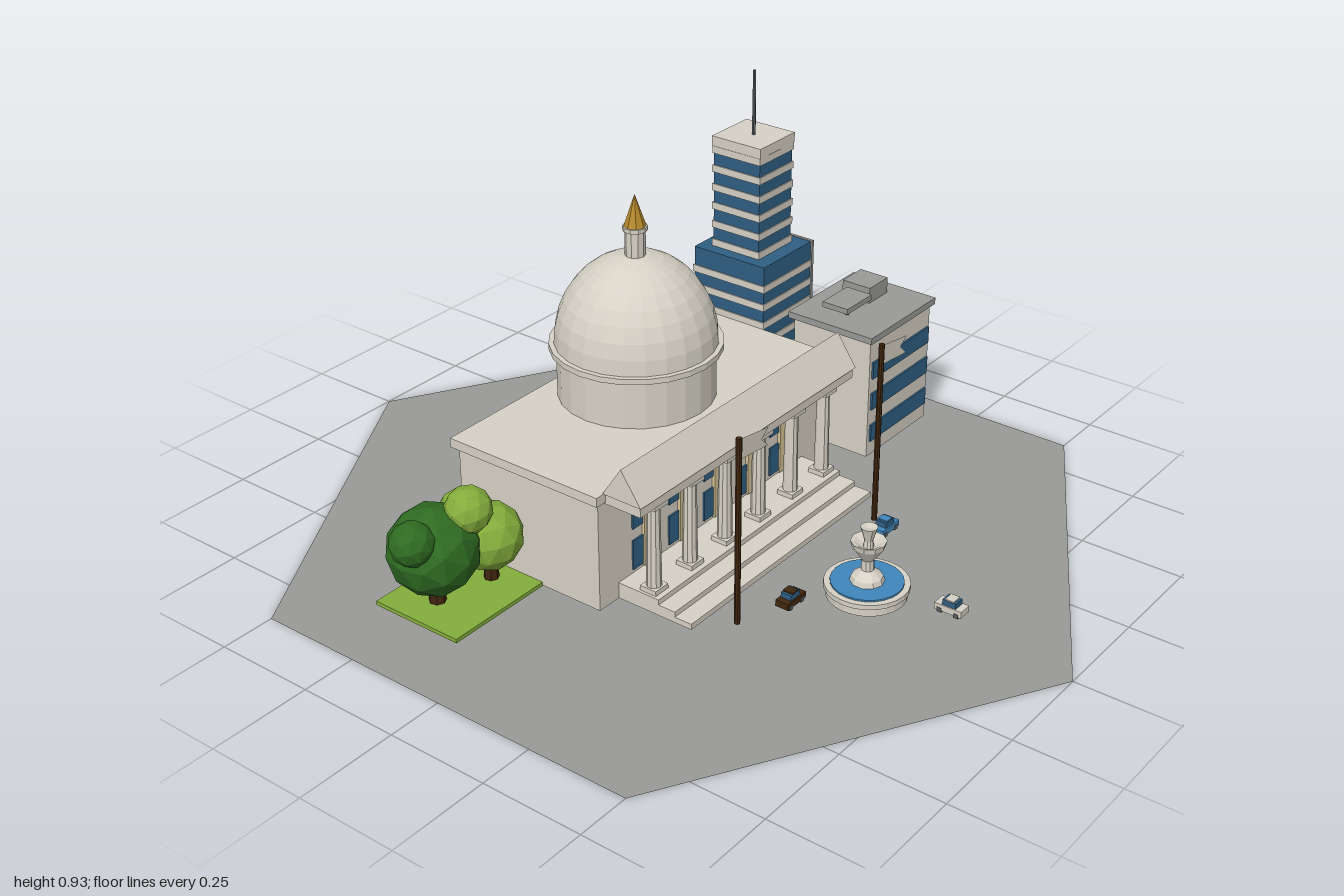
import * as THREE from 'three';

const mat = (name, color, opts = {}) => {
  const m = new THREE.MeshStandardMaterial({ color, flatShading: true, ...opts });
  m.name = name;
  return m;
};

export function createModel() {
  const model = new THREE.Group();
  model.name = 'civicSquare';
  const stone = mat('stone', 0xd6d1c5, { side: THREE.DoubleSide });
  const grey = mat('grey', 0x999a97, { side: THREE.DoubleSide });
  const glass = mat('glass', 0x2f5f82);
  const water = mat('water', 0x3f86ba);
  const darkLeaf = mat('darkLeaf', 0x2f6b22);
  const lightLeaf = mat('lightLeaf', 0x84ad3c);
  const gold = mat('gold', 0xb58a2c);
  const brown = mat('brown', 0x40260f);
  const tan = mat('tan', 0xd9c799);
  const steel = mat('steel', 0x5a5c5e);
  const G = 0.01; // ground floor level

  const add = (name, geo, material, x = 0, y = 0, z = 0, parent = model) => {
    const m = new THREE.Mesh(geo, material);
    m.name = name;
    m.position.set(x, y, z);
    parent.add(m);
    return m;
  };
  // Box given by its extents on each axis
  const box = (name, material, x0, x1, y0, y1, z0, z1, parent = model) =>
    add(name, new THREE.BoxGeometry(x1 - x0, y1 - y0, z1 - z0), material,
      (x0 + x1) / 2, (y0 + y1) / 2, (z0 + z1) / 2, parent);
  const cyl = (name, material, rTop, rBot, y0, y1, x, z, sides = 12, parent = model) =>
    add(name, new THREE.CylinderGeometry(rTop, rBot, y1 - y0, sides), material, x, (y0 + y1) / 2, z, parent);
  const group = (name, x = 0, y = 0, z = 0) => {
    const g = new THREE.Group();
    g.name = name;
    g.position.set(x, y, z);
    model.add(g);
    return g;
  };

  // Hexagonal ground sheet with corners on the z axis
  const hex = new THREE.CircleGeometry(1, 6, Math.PI / 2).rotateX(-Math.PI / 2);
  add('ground', hex, grey);

  // Main hall
  const hall = group('hall');
  box('hallWalls', stone, -0.415, 0.415, G, 0.285, -0.343, 0.06, hall);
  box('hallCornice', stone, -0.43, 0.43, 0.285, 0.308, -0.355, 0.07, hall);

  // Portico: beam and gabled roof with its ridge along x
  box('porticoBeam', stone, -0.4, 0.4, 0.28, 0.306, 0.06, 0.165, hall);
  const gable = new THREE.Shape([
    new THREE.Vector2(-0.17, 0.306), new THREE.Vector2(-0.065, 0.306), new THREE.Vector2(-0.117, 0.384)]);
  const gableGeo = new THREE.ExtrudeGeometry(gable, { depth: 0.81, bevelEnabled: false });
  gableGeo.rotateY(Math.PI / 2);
  add('porticoRoof', gableGeo, stone, -0.405, 0, 0, hall);

  // Steps
  [[0.262, 0.024], [0.217, 0.037], [0.172, 0.05]].forEach(([z, y], i) =>
    box('step' + (i + 1), stone, -0.35, 0.35, G, y, 0.05, z, hall));

  // Columns with base and capital
  for (let i = 0; i < 6; i++) {
    const x = (i - 2.5) * 0.1285, z = 0.137;
    cyl('columnShaft', stone, 0.015, 0.018, 0.05, 0.28, x, z, 10, hall);
    box('columnBase', stone, x - 0.022, x + 0.022, 0.05, 0.062, z - 0.022, z + 0.022, hall);
    box('columnCapital', stone, x - 0.023, x + 0.023, 0.266, 0.281, z - 0.023, z + 0.023, hall);
  }

  // Hall windows, two rows in each bay with a pale centre post
  for (let i = 0; i < 5; i++) {
    const x = (i - 2) * 0.1285;
    for (const [y0, y1] of [[0.06, 0.135], [0.165, 0.245]]) {
      box('hallWindow', glass, x - 0.045, x + 0.045, y0, y1, 0.058, 0.064, hall);
    }
    box('windowPost', tan, x - 0.01, x + 0.01, 0.055, 0.26, 0.06, 0.068, hall);
  }

  // Dome
  const dome = group('dome', 0, 0, -0.167);
  cyl('drum', stone, 0.185, 0.185, 0.3, 0.44, 0, 0, 24, dome);
  cyl('domeRing', stone, 0.202, 0.202, 0.428, 0.442, 0, 0, 24, dome);
  const shell = new THREE.SphereGeometry(0.19, 24, 9, 0, Math.PI * 2, 0, Math.PI / 2);
  add('domeShell', shell.scale(1, 1.13, 1), stone, 0, 0.442, 0, dome);
  cyl('lantern', stone, 0.024, 0.024, 0.645, 0.72, 0, 0, 10, dome);
  cyl('lanternCap', stone, 0.029, 0.029, 0.715, 0.725, 0, 0, 10, dome);
  add('spire', new THREE.ConeGeometry(0.026, 0.077, 8), gold, 0, 0.763, 0, dome);

  // Tower: glass blocks wrapped by thin floor bands
  const tower = group('tower');
  const banded = (name, x0, x1, y0, y1, z0, z1) => {
    box(name + 'Glass', glass, x0, x1, y0, y1, z0, z1, tower);
    const e = 0.003;
    for (let y = y1 - 0.049; y > y0; y -= 0.049) {
      box(name + 'Band', stone, x0 - e, x1 + e, y - 0.018, y, z0 - e, z1 + e, tower);
    }
  };
  banded('lowerTower', 0.433, 0.632, G, 0.472, -0.332, -0.121);
  banded('upperTower', 0.465, 0.598, 0.472, 0.785, -0.298, -0.161);
  tower.children.filter((m) => m.name === 'upperTowerGlass').forEach((m) => {
    m.scale.y = 0.92;
    m.position.y -= 0.0125;
  });
  box('sidePanel', grey, 0.63, 0.638, G, 0.474, -0.336, -0.117, tower);
  box('towerCap', stone, 0.461, 0.602, 0.737, 0.762, -0.302, -0.157, tower);
  cyl('towerMast', steel, 0.004, 0.005, 0.76, 0.925, 0.531, -0.228, 6, tower);

  // Office block beside the tower
  const office = group('office');
  box('officeWalls', stone, 0.502, 0.768, G, 0.328, -0.075, 0.148, office);
  box('officeRoof', grey, 0.492, 0.778, 0.326, 0.343, -0.087, 0.157, office);
  for (const y of [0.05, 0.138, 0.223]) {
    box('officeWindow', glass, 0.512, 0.762, y, y + 0.045, 0.146, 0.153, office);
  }
  box('roofUnit', grey, 0.65, 0.73, 0.34, 0.384, -0.035, 0.045, office);
  cyl('panelPost', steel, 0.006, 0.006, 0.34, 0.38, 0.567, 0.035, 6, office);
  box('roofPanel', grey, 0.515, 0.62, 0.372, 0.386, -0.003, 0.07, office);

  // Flagpoles with swallowtail flags
  const flag = new THREE.Shape([[0, 0], [0.105, -0.016], [0.08, -0.036], [0.105, -0.06], [0, -0.05]]
    .map(([x, y]) => new THREE.Vector2(x, y)));
  for (const x of [-0.269, 0.27]) {
    cyl('flagpole', brown, 0.007, 0.007, G, 0.472, x, 0.325, 8);
    add('flag', new THREE.ShapeGeometry(flag), stone, x, 0.468, 0.325);
  }

  // Fountain: basin, water and tiered bowl
  const fountain = group('fountain', 0, 0, 0.483);
  const lathe = (name, pts, sides) => add(name, new THREE.LatheGeometry(
    pts.map(([r, y]) => new THREE.Vector2(r, y)), sides), stone, 0, 0, 0, fountain);
  lathe('basin', [[0.092, G], [0.092, 0.028], [0.097, 0.03], [0.097, 0.042], [0.082, 0.042], [0.082, 0.02]], 24);
  cyl('basinWater', water, 0.083, 0.083, 0.02, 0.046, 0, 0, 24, fountain);
  lathe('bowl', [[0.04, 0.045], [0.036, 0.058], [0.015, 0.075], [0.014, 0.1], [0.038, 0.135], [0.041, 0.148],
    [0.033, 0.146], [0.012, 0.132], [0.01, 0.15], [0.02, 0.183], [0, 0.178]], 10);

  // Cars
  const car = (x, z, paint, turn) => {
    const g = group('car', x, G, z);
    g.rotation.y = turn;
    box('carBody', paint, -0.034, 0.034, 0.004, 0.02, -0.017, 0.017, g);
    box('carCabin', glass, -0.018, 0.016, 0.02, 0.033, -0.014, 0.014, g);
    box('carRoof', paint, -0.012, 0.01, 0.032, 0.036, -0.013, 0.013, g);
    for (const wx of [-0.021, 0.021]) box('carWheels', steel, wx - 0.006, wx + 0.006, 0, 0.011, -0.018, 0.018, g);
  };
  car(-0.135, 0.372, brown, 0);
  car(0.243, 0.372, water, 0);
  car(0.053, 0.67, stone, Math.PI / 2);

  // Garden with trees
  const garden = group('garden');
  box('lawn', lightLeaf, -0.697, -0.417, G, 0.02, -0.345, -0.105, garden);
  cyl('trunk', brown, 0.016, 0.02, 0.02, 0.12, -0.612, -0.24, 7, garden);
  cyl('trunk', brown, 0.014, 0.018, 0.02, 0.1, -0.47, -0.21, 7, garden);
  const leaves = [
    [-0.615, 0.155, -0.24, 0.106, darkLeaf], [-0.692, 0.212, -0.225, 0.052, darkLeaf],
    [-0.552, 0.243, -0.19, 0.055, lightLeaf], [-0.483, 0.14, -0.2, 0.08, lightLeaf],
    [-0.478, 0.17, -0.285, 0.052, lightLeaf], [-0.522, 0.052, -0.295, 0.042, lightLeaf]];
  leaves.forEach(([x, y, z, r, m], i) => {
    add('foliage', new THREE.IcosahedronGeometry(r, 1), m, x, y, z, garden).rotation.set(i, i * 0.7, 0);
  });
  return model;
}
